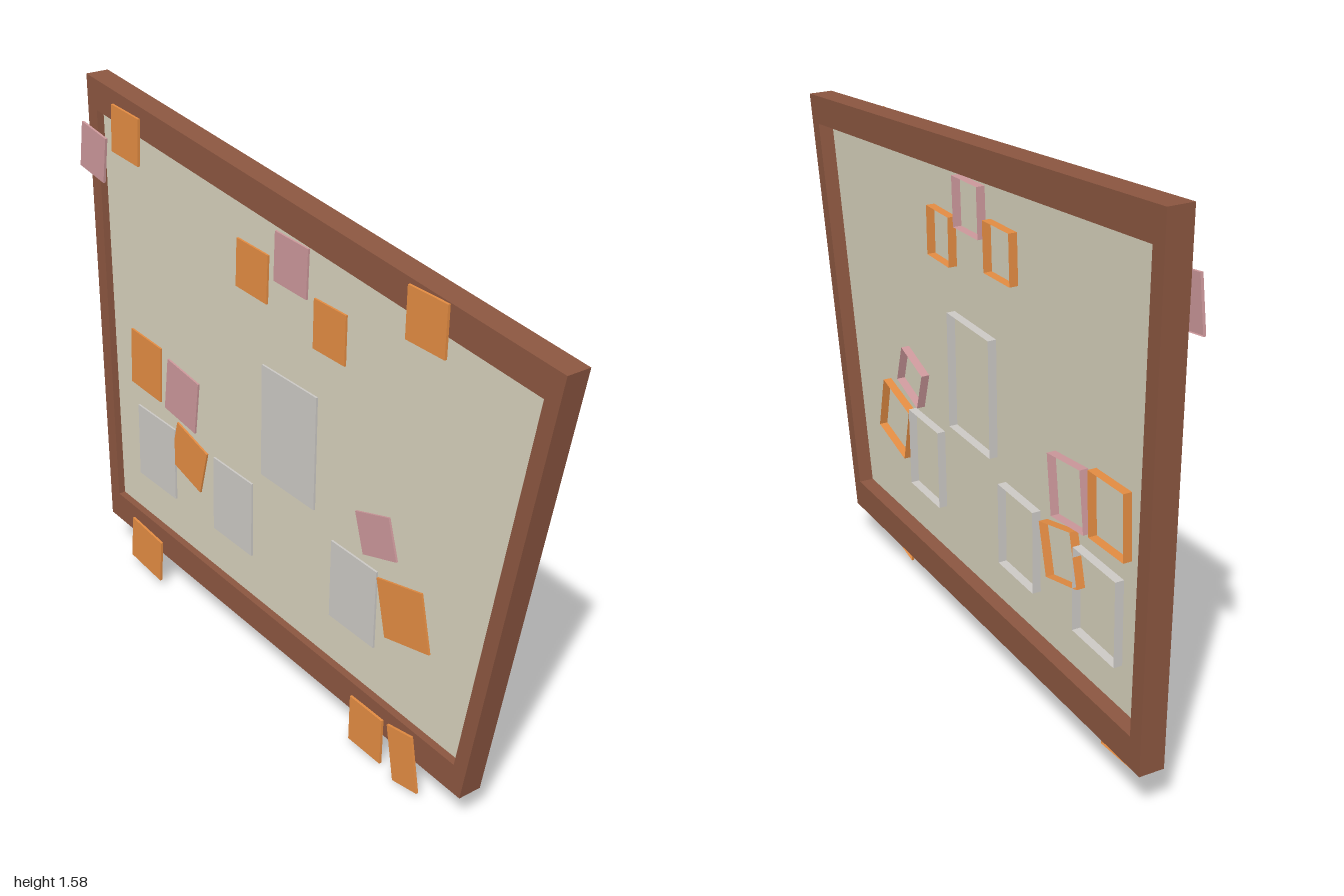
import * as THREE from 'three';

const material = (color) => new THREE.MeshStandardMaterial({ color, side: THREE.DoubleSide });

// Flat outline in the board plane, pushed through a depth range
function slab(points, hole, from, to) {
  const shape = new THREE.Shape(points.map(([u, v]) => new THREE.Vector2(u, v)));
  if (hole) shape.holes.push(new THREE.Path(hole.map(([u, v]) => new THREE.Vector2(u, v))));
  const geometry = new THREE.ExtrudeGeometry(shape, { depth: to - from, bevelEnabled: false });
  return geometry.translate(0, 0, from);
}

// Thin paper box, open on its rear side
function paper(w, h, depth) {
  const geometry = new THREE.BoxGeometry(w, h, depth);
  const index = Array.from(geometry.index.array);
  index.splice(24, 6);
  geometry.setIndex(index);
  geometry.clearGroups();
  return geometry;
}

export function createModel() {
  const model = new THREE.Group();
  model.name = 'noticeBoard';
  const wood = material(0x8b5640);
  const cork = material(0xd6d0bb);
  const colors = { orange: material(0xe28b42), pink: material(0xcb979a), white: material(0xcbc8c4) };

  // The board leans a little and its plane runs along z
  const lean = new THREE.Group();
  lean.name = 'leaningBoard';
  lean.rotation.z = -0.019;
  lean.position.x = -0.048;
  model.add(lean);
  const board = new THREE.Group();
  board.name = 'board';
  board.rotation.y = Math.PI / 2;
  lean.add(board);

  const add = (name, geometry, mat) => {
    const mesh = new THREE.Mesh(geometry, mat);
    mesh.name = name;
    board.add(mesh);
    return mesh;
  };

  // Crooked wooden frame and the panel inside it
  const outer = [[-0.785, 0.115], [0.905, 0.14], [0.95, 1.585], [-1, 1.415]];
  const inner = [[-0.755, 0.205], [0.86, 0.23], [0.9, 1.49], [-0.94, 1.335]];
  add('frame', slab(outer, inner, 0, 0.071), wood);
  add('panel', slab(inner, null, 0.022, 0.027), cork);

  // Notes: colour, centre along board, height, width, length, turn
  const panelNotes = [
    ['orange', -0.175, 1.195, 0.13, 0.14, 0],
    ['pink', -0.01, 1.32, 0.14, 0.14, 0.03],
    ['orange', 0.16, 1.245, 0.14, 0.14, 0.03],
    ['white', -0.01, 0.82, 0.24, 0.34, 0],
    ['pink', 0.51, 0.725, 0.16, 0.17, 0.12],
    ['orange', 0.7, 0.75, 0.16, 0.18, 0.04],
    ['orange', 0.475, 0.535, 0.16, 0.15, 0.25],
    ['white', 0.65, 0.475, 0.2, 0.24, 0],
    ['white', 0.25, 0.475, 0.19, 0.24, 0],
    ['pink', -0.39, 0.7, 0.14, 0.12, -0.32],
    ['orange', -0.51, 0.52, 0.18, 0.17, -0.25],
    ['white', -0.305, 0.475, 0.19, 0.24, 0],
  ];
  const frameNotes = [
    ['orange', -0.565, 0.1, 0.1, 0.17, -0.2],
    ['orange', -0.41, 0.098, 0.135, 0.145, 0],
    ['orange', 0.69, 0.11, 0.165, 0.145, 0.08],
    ['pink', 0.92, 1.36, 0.13, 0.14, 0.14],
    ['orange', 0.74, 1.46, 0.14, 0.14, 0.05],
    ['orange', -0.56, 1.375, 0.14, 0.14, 0],
  ];
  const place = (notes, label, from, to) => {
    notes.forEach(([color, u, v, w, h, turn], i) => {
      const note = add(`${label}${i + 1}`, paper(w, h, to - from), colors[color]);
      note.position.set(u, v, (from + to) / 2);
      note.rotation.z = turn;
    });
  };
  place(panelNotes, 'panelNote', 0.016, 0.052);
  place(frameNotes, 'frameNote', -0.008, -0.0005);

  return model;
}
